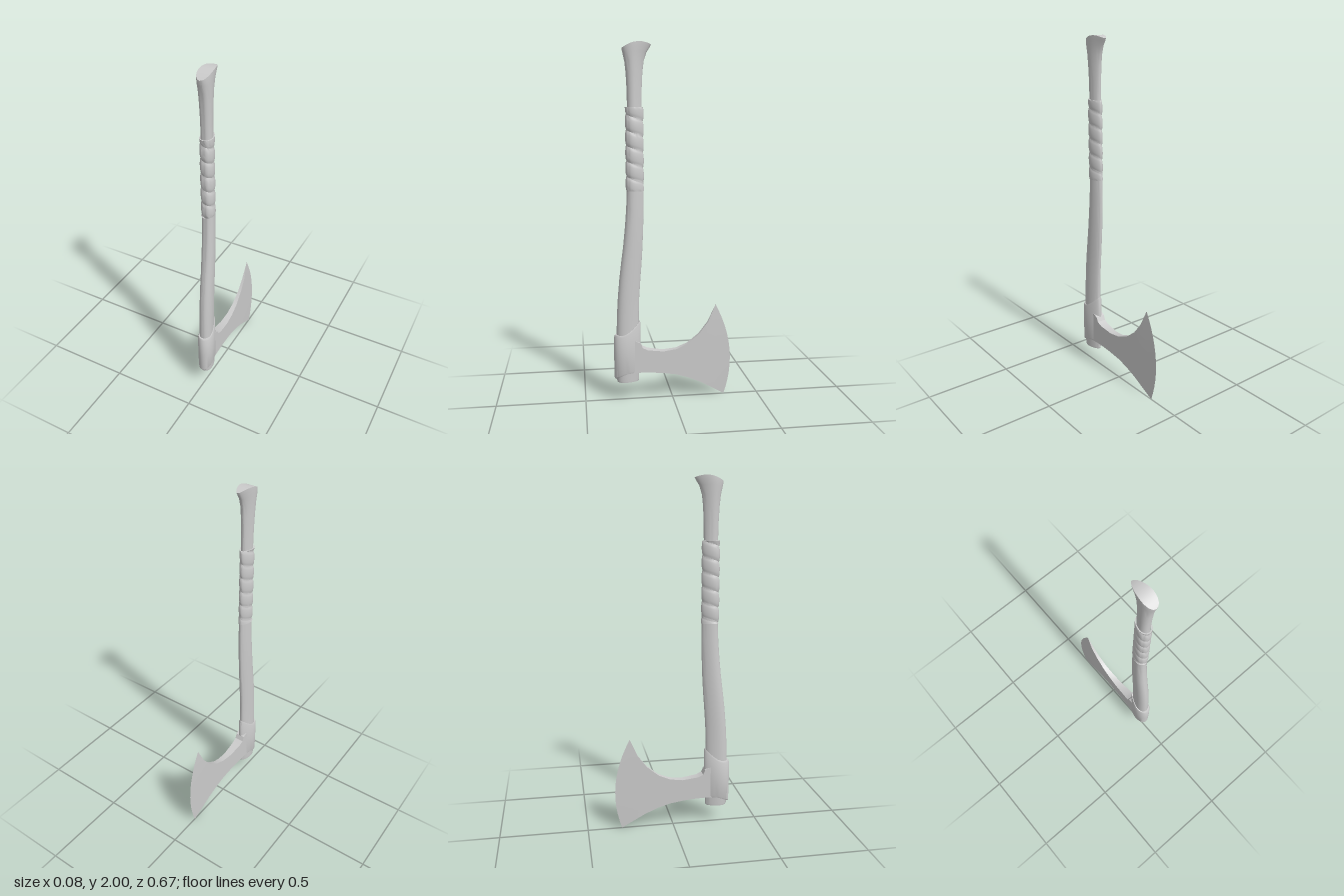
import * as THREE from 'three';
import { toCreasedNormals } from 'three/addons/utils/BufferGeometryUtils.js';

const material = new THREE.MeshStandardMaterial({ color: 0xcccccc });
const SIDES = 28;

// Surface through a grid of points: point(row, col) -> [x, y, z]
function gridMesh(name, rows, cols, point, crease = 0.6) {
  const pos = [], idx = [];
  for (let j = 0; j <= rows; j++)
    for (let i = 0; i <= cols; i++) pos.push(...point(j, i));
  for (let j = 0; j < rows; j++)
    for (let i = 0; i < cols; i++) {
      const a = j * (cols + 1) + i, d = a + cols + 1;
      idx.push(a, a + 1, d, a + 1, d + 1, d);
    }
  const geo = new THREE.BufferGeometry();
  geo.setAttribute('position', new THREE.Float32BufferAttribute(pos, 3));
  geo.setIndex(idx);
  const mesh = new THREE.Mesh(toCreasedNormals(geo, crease), material);
  mesh.name = name;
  return mesh;
}

// Egg-shaped section, round at the front and narrower at the back
function egg(front, back, halfWidth, t) {
  const c = Math.cos(t);
  return {
    x: (halfWidth * Math.sin(t) * (1 + 0.25 * c)) / 1.03,
    z: (front + back) / 2 + ((front - back) / 2) * c,
    c,
  };
}
const angle = (i) => ((i % SIDES) / SIDES) * Math.PI * 2;

// Curved haft: [y, front z, back z, half width, end bow]
function makeHandle() {
  const s = [
    [0.122, 0.307, 0.208, 0, 0], [0.122, 0.307, 0.208, 0.026, 0],
    [0.108, 0.311, 0.204, 0.029, 0], [0.108, 0.318, 0.197, 0.033, 0],
    [0.118, 0.321, 0.194, 0.034, 0], [0.4, 0.32, 0.195, 0.034, 0],
    [0.5, 0.317, 0.193, 0.034, 0], [0.6, 0.311, 0.19, 0.034, 0],
    [0.7, 0.302, 0.183, 0.034, 0], [0.8, 0.29, 0.175, 0.033, 0],
    [0.9, 0.277, 0.169, 0.033, 0], [1.0, 0.267, 0.165, 0.032, 0],
    [1.1, 0.259, 0.162, 0.031, 0], [1.2, 0.255, 0.162, 0.03, 0],
    [1.45, 0.252, 0.167, 0.028, 0], [1.66, 0.249, 0.17, 0.028, 0],
    [1.76, 0.251, 0.168, 0.029, 0], [1.84, 0.255, 0.164, 0.031, 0],
    [1.9, 0.261, 0.157, 0.033, 0.1], [1.95, 0.27, 0.142, 0.035, 0.4],
    [1.978, 0.274, 0.126, 0.036, 0.7], [1.999, 0.275, 0.117, 0.036, 1],
    [1.999, 0.275, 0.117, 0, 1],
  ];
  return gridMesh('handle', s.length - 1, SIDES, (j, i) => {
    const [y, f, b, w, bow] = s[j];
    const p = egg(f, b, w, angle(i));
    return [p.x, y - bow * (0.0225 * p.c * p.c + 0.01 * p.c), p.z];
  });
}

// Grip binding: a bulging band wound in a helix
function makeGrip() {
  const y0 = 1.2, y1 = 1.655, pitch = 0.084, steps = 8;
  const rows = Math.ceil((y1 - y0) / pitch + 1) * steps;
  return gridMesh('gripWrap', rows, SIDES, (j, i) => {
    const turn = i / SIDES;
    const y = y0 + (j / steps - 1 + 1 - turn - 0) * pitch;
    const phase = (j % steps) / steps;
    const bulge = 0.006 * Math.sqrt(Math.sin(Math.PI * phase));
    const p = egg(0.255 + bulge, 0.165 - bulge, 0.028 + bulge, angle(i));
    return [p.x, THREE.MathUtils.clamp(y, y0, y1), p.z];
  }, 0.7);
}

// Socket around the haft, raised at the back, with a scooped lower rim
function makeSocket() {
  const rings = [
    [0, 0.316, 0.2, 0.031], [0, 0.328, 0.189, 0.038], [0.04, 0.334, 0.185, 0.041],
    [0.5, 0.336, 0.185, 0.042], [0.96, 0.334, 0.185, 0.041],
    [1, 0.329, 0.188, 0.038], [1, 0.316, 0.2, 0.031],
  ];
  return gridMesh('headSocket', rings.length - 1, SIDES, (j, i) => {
    const [v, f, b, w] = rings[j];
    const p = egg(f, b, w, angle(i));
    const top = 0.385 + 0.08 * Math.pow(THREE.MathUtils.clamp((0.295 - p.z) / 0.11, 0, 1), 1.6);
    const bottom = 0.162 - 0.042 * Math.pow(Math.max(0, (p.z - 0.24) / 0.095), 2);
    return [p.x, THREE.MathUtils.lerp(bottom, top, v), p.z];
  });
}

// Flared blade: cross-sections run from the socket to the cutting edge
function makeBlade() {
  // [upper z, upper y, lower z, lower y, forward bow]
  const s = [
    [0.24, 0.36, 0.24, 0.162, 0], [0.187, 0.335, 0.187, 0.162, 0],
    [0.175, 0.307, 0.165, 0.161, 0], [0.145, 0.292, 0.13, 0.159, 0],
    [0.055, 0.279, 0.06, 0.151, 0], [-0.02, 0.288, -0.02, 0.137, 0.005],
    [-0.085, 0.315, -0.09, 0.114, 0.015], [-0.153, 0.37, -0.165, 0.08, 0.03],
    [-0.206, 0.44, -0.235, 0.04, 0.05], [-0.25, 0.54, -0.302, 0, 0.06],
  ];
  const M = 12, cols = 2 * M + 2;
  return gridMesh('blade', s.length - 1, cols, (j, i) => {
    const [uz, uy, lz, ly, bow] = s[j];
    const k = i % cols, left = k <= M;
    const v = left ? 1 - k / M : (k - M - 1) / M;
    const z = THREE.MathUtils.lerp(lz, uz, v) - 4 * v * (1 - v) * bow;
    const half = j === s.length - 1 ? 0 : 0.053 * (z + 0.335);
    return [left ? half : -half, THREE.MathUtils.lerp(ly, uy, v), z];
  }, 0.5);
}

export function createModel() {
  const group = new THREE.Group();
  group.name = 'axe';
  group.add(makeHandle(), makeGrip(), makeSocket(), makeBlade());
  return group;
}
